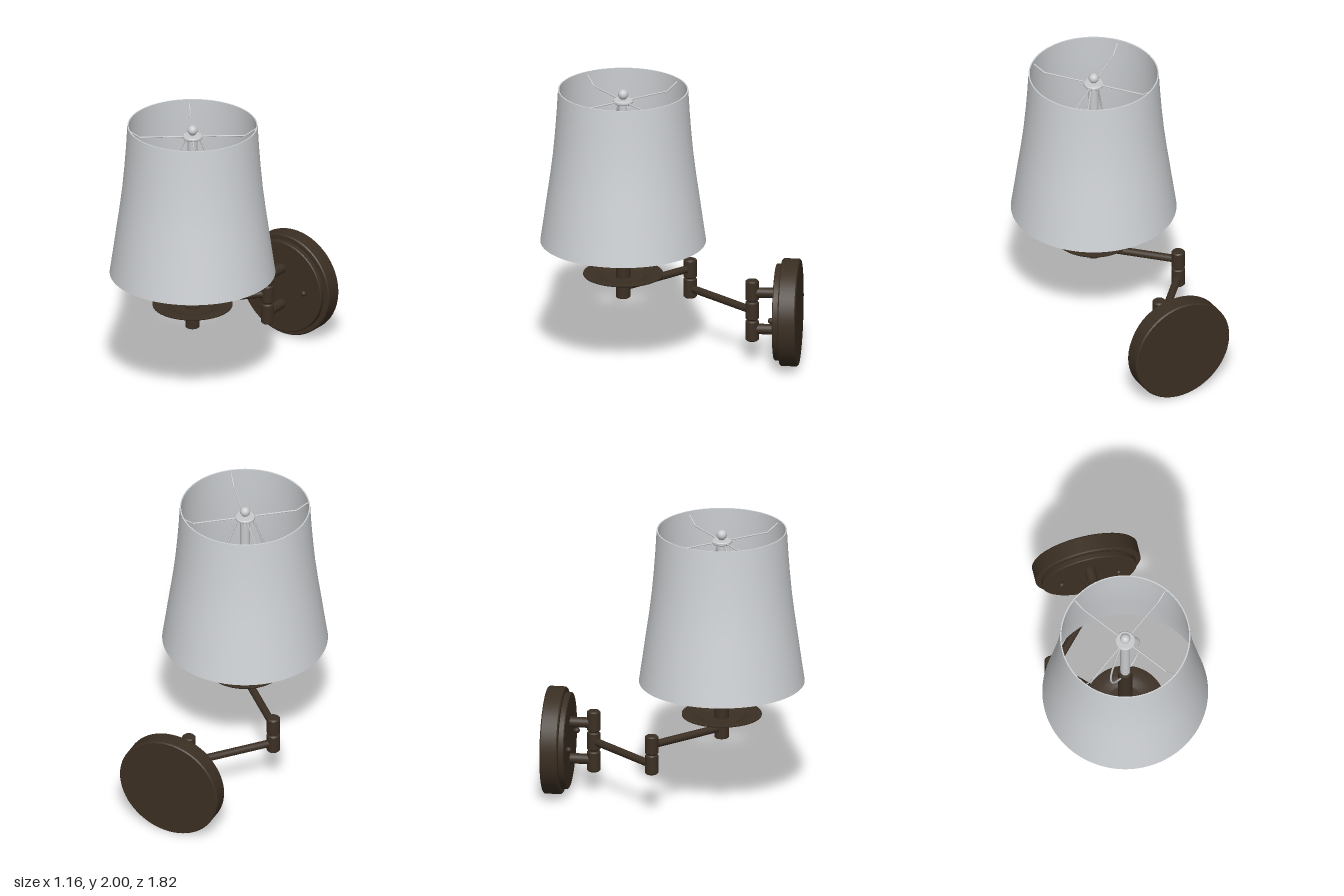
import * as THREE from 'three';

export function createModel() {
  const model = new THREE.Group();
  const bronze = new THREE.MeshStandardMaterial({ color: 0x3b2f23 });
  bronze.name = 'dark bronze';
  const fabric = new THREE.MeshStandardMaterial({ color: 0xd0d3d6 });
  fabric.name = 'shade fabric';
  const steel = new THREE.MeshStandardMaterial({ color: 0xc8cacc });
  steel.name = 'pale steel';

  const AXIS_Z = 0.325;              // lamp axis
  const ELBOW = [-0.43, -0.11];      // x, z of the elbow joint
  const WALL_Z = -0.58;              // z of the wall pivot
  const PLATE_Y = 0.38;
  const v = (x, y, z) => new THREE.Vector3(x, y, z);

  function add(name, geometry, material, x = 0, y = 0, z = 0) {
    const mesh = new THREE.Mesh(geometry, material);
    mesh.name = name;
    mesh.position.set(x, y, z);
    model.add(mesh);
    return mesh;
  }

  // Lathe in which every profile segment keeps its own normals (crisp edges)
  function addTurned(name, profile, material, x, y, z, parent = model) {
    const group = new THREE.Group();
    group.name = name;
    group.position.set(x, y, z);
    for (let i = 0; i < profile.length - 1; i++) {
      const pts = [profile[i], profile[i + 1]].map(p => new THREE.Vector2(...p));
      const mesh = new THREE.Mesh(new THREE.LatheGeometry(pts, 64), material);
      mesh.name = name + 'Face';
      group.add(mesh);
    }
    parent.add(group);
    return group;
  }

  // Cylinder with small bevels, standing from y = 0 to y = h
  const bevelled = (r, h, b) =>
    [[0, 0], [r - b, 0], [r, b], [r, h - b], [r - b, h], [0, h]];

  // Round rod between two points
  function addRod(name, a, b, r, material) {
    const d = b.clone().sub(a);
    const rod = add(name, new THREE.CylinderGeometry(r, r, d.length(), 24), material);
    rod.position.copy(a).add(b).multiplyScalar(0.5);
    rod.quaternion.setFromUnitVectors(v(0, 1, 0), d.normalize());
    return rod;
  }

  // Wall plate: two stacked discs facing +z
  addTurned('wallPlate', bevelled(0.378, 0.125, 0.008), bronze, 0, PLATE_Y, -0.912).rotation.x = Math.PI / 2;
  addTurned('wallPlateStep', bevelled(0.34, 0.045, 0.006), bronze, 0, PLATE_Y, -0.79).rotation.x = Math.PI / 2;
  for (const s of [-1, 1]) {
    addRod('screwShank', v(s * 0.205, 0.385, -0.75), v(s * 0.205, 0.385, -0.73), 0.014, bronze);
    add('screwHead', new THREE.SphereGeometry(0.021, 20, 14), bronze, s * 0.205, 0.385, -0.728);
  }

  // Wall pivot: three knuckles and two stubs
  for (const [y, h] of [[0.165, 0.15], [0.321, 0.134], [0.461, 0.15]])
    addTurned('wallKnuckle', bevelled(0.047, h, 0.009), bronze, 0, y, WALL_Z);
  addRod('pivotCore', v(0, 0.18, WALL_Z), v(0, 0.59, WALL_Z), 0.036, bronze);
  for (const y of [0.25, 0.52])
    addRod('wallStub', v(0, y, -0.75), v(0, y, WALL_Z), 0.037, bronze);

  // Swing arms and elbow
  addRod('rearArm', v(0, 0.387, WALL_Z), v(ELBOW[0], 0.387, ELBOW[1]), 0.027, bronze);
  for (const [y, h] of [[0.32, 0.143], [0.467, 0.135]])
    addTurned('elbowKnuckle', bevelled(0.047, h, 0.009), bronze, ELBOW[0], y, ELBOW[1]);
  addRod('elbowCore', v(ELBOW[0], 0.34, ELBOW[1]), v(ELBOW[0], 0.58, ELBOW[1]), 0.036, bronze);
  addRod('frontArm', v(ELBOW[0], 0.533, ELBOW[1]), v(0, 0.533, AXIS_Z), 0.027, bronze);

  // Lamp post and drip dish
  addTurned('lampPost', bevelled(0.05, 0.84, 0.004), bronze, 0, 0.46, AXIS_Z);
  const dish = [[0, 0.6], [0.135, 0.6], [0.15, 0.607], [0.185, 0.624], [0.22, 0.63], [0.28, 0.63],
    [0.28, 0.638], [0.215, 0.637], [0.18, 0.631], [0.145, 0.615], [0.13, 0.608], [0, 0.608]];
  add('dripDish', new THREE.LatheGeometry(dish.map(p => new THREE.Vector2(...p)), 64), bronze, 0, 0, AXIS_Z);

  // Fabric shade: thin, slightly flared wall
  const outline = [[0.58, 0.88], [0.557, 1.04], [0.535, 1.2], [0.512, 1.36],
    [0.492, 1.52], [0.477, 1.68], [0.465, 1.84], [0.456, 2]];
  const wall = (name, pts) =>
    add(name, new THREE.LatheGeometry(pts.map(p => new THREE.Vector2(...p)), 96), fabric, 0, 0, AXIS_Z);
  const inner = outline.map(([r, y]) => [r - 0.009, y]);
  wall('shadeOuter', outline);
  wall('shadeInner', [...inner].reverse());
  wall('shadeTopRim', [outline[7], inner[7]]);
  wall('shadeBottomRim', [inner[0], outline[0]]);

  // Spider: four bent wires from the hub up to the shade
  const start = Math.atan2(-0.27, 0.345);
  for (let i = 0; i < 4; i++) {
    const a = start + i * Math.PI / 2;
    const at = (r, y) => v(Math.cos(a) * r, y, AXIS_Z + Math.sin(a) * r);
    addRod('spiderArm', at(0.03, 1.915), at(0.37, 1.915), 0.005, steel);
    addRod('spiderTip', at(0.37, 1.915), at(0.452, 1.97), 0.005, steel);
  }

  // Harp, stem, hub and finial
  const side = s => [[0.05, 1.9], [0.1, 1.77], [0.15, 1.6], [0.16, 1.45], [0.12, 1.32], [0.045, 1.25]]
    .map(([r, y]) => v(s * Math.cos(start) * r, y, AXIS_Z + s * Math.sin(start) * r));
  for (const s of [-1, 1])
    add('harp', new THREE.TubeGeometry(new THREE.CatmullRomCurve3(side(s)), 32, 0.007, 8), steel);
  addRod('stem', v(0, 1.28, AXIS_Z), v(0, 1.92, AXIS_Z), 0.035, steel);
  addTurned('hub', bevelled(0.07, 0.025, 0.006), steel, 0, 1.9, AXIS_Z);
  addRod('finialNeck', v(0, 1.92, AXIS_Z), v(0, 1.95, AXIS_Z), 0.018, steel);
  add('finial', new THREE.SphereGeometry(0.036, 28, 20), steel, 0, 1.963, AXIS_Z);

  return model;
}
